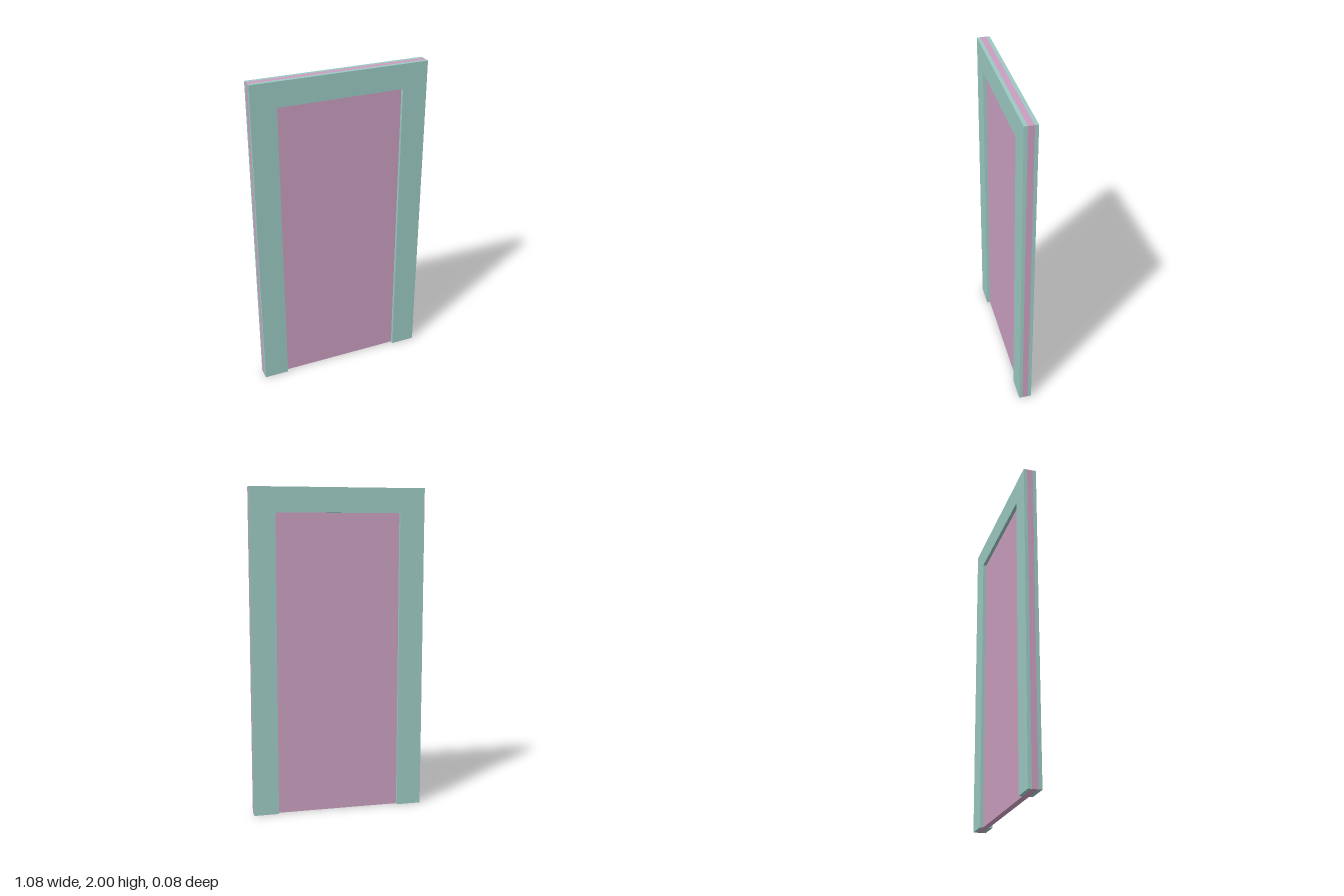
import * as THREE from 'three';

const W = 0.538, H = 2;              // outer half width and height
const OPEN_W = 0.384, OPEN_H = 1.85; // opening half width and height
const CORE = 0.018, FACE = 0.039;    // half depths of core panel and casing

export function createModel() {
  const teal = new THREE.MeshStandardMaterial({ color: 0x9ccac2 });
  teal.name = 'casing teal';
  const pink = new THREE.MeshStandardMaterial({ color: 0xca9ec0 });
  pink.name = 'panel pink';

  const model = new THREE.Group();
  model.name = 'door';

  // full-size core panel, visible in the opening and along the edges
  const panel = new THREE.Mesh(new THREE.BoxGeometry(2 * W, H, 2 * CORE), pink);
  panel.name = 'doorPanel';
  panel.position.y = H / 2;
  model.add(panel);

  // U-shaped casing, open at the floor
  const outline = new THREE.Shape([
    [-W, 0], [-OPEN_W, 0], [-OPEN_W, OPEN_H], [OPEN_W, OPEN_H],
    [OPEN_W, 0], [W, 0], [W, H], [-W, H],
  ].map(([x, y]) => new THREE.Vector2(x, y)));
  const casing = new THREE.ExtrudeGeometry(outline, { depth: FACE - CORE, bevelEnabled: false });

  // one casing on each side of the panel
  for (const [name, z] of [['frontCasing', CORE], ['backCasing', -FACE]]) {
    const mesh = new THREE.Mesh(casing, teal);
    mesh.name = name;
    mesh.position.z = z;
    model.add(mesh);
  }
  return model;
}
